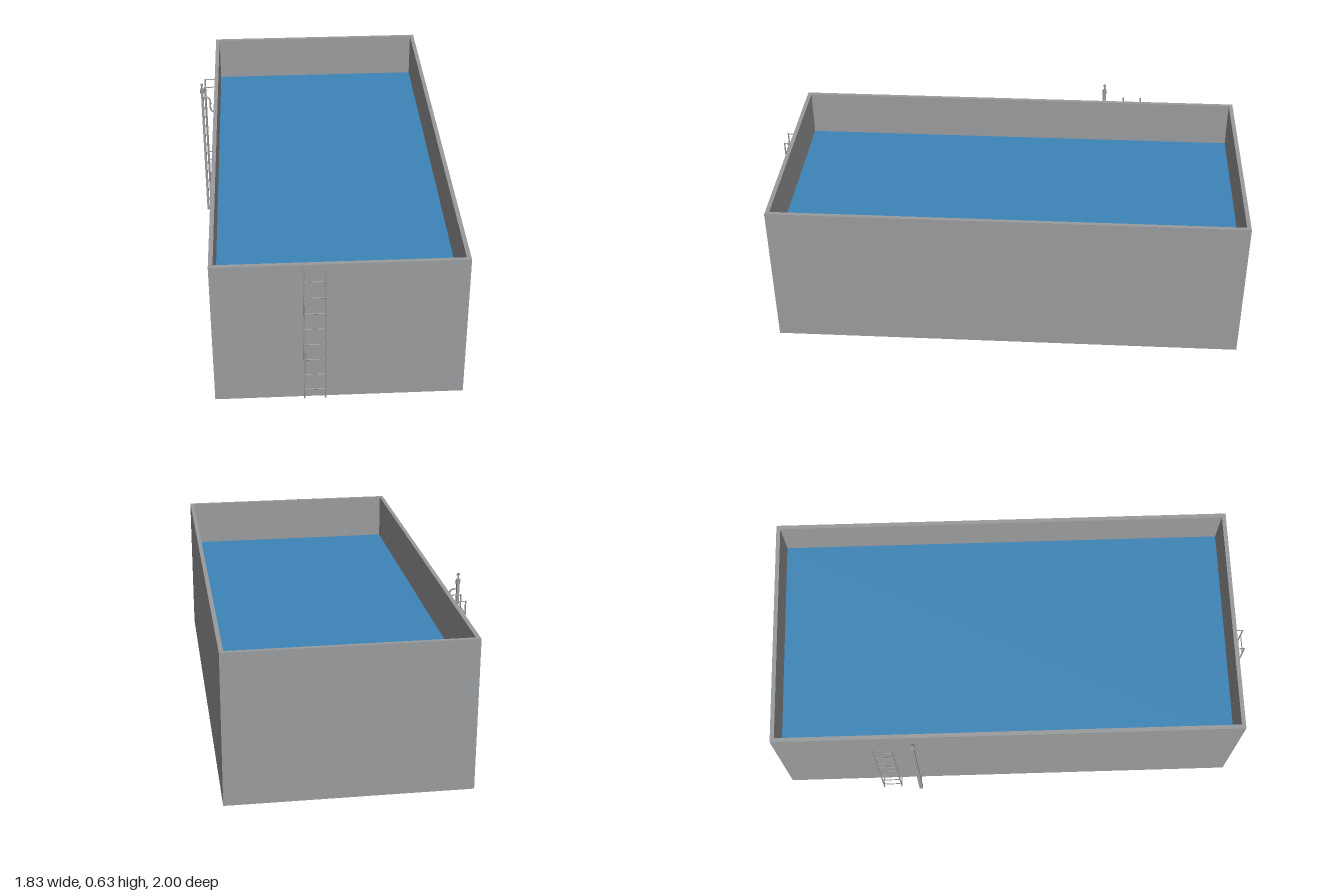
import * as THREE from 'three';

const W = 0.909, L = 1.822, H = 0.585, T = 0.016; // tank width, length, height, wall thickness
const WATER_Y = 0.4;

const steel = new THREE.MeshStandardMaterial({ color: 0x9a9b9c });
steel.name = 'steel grey';
const blue = new THREE.MeshStandardMaterial({ color: 0x3d85b8 });
blue.name = 'water blue';

function add(parent, name, geometry, material, x = 0, y = 0, z = 0) {
  const mesh = new THREE.Mesh(geometry, material);
  mesh.name = name;
  mesh.position.set(x, y, z);
  parent.add(mesh);
  return mesh;
}

// Round bar between two points
function bar(parent, name, a, b, r) {
  const p = new THREE.Vector3(...a), q = new THREE.Vector3(...b);
  const dir = q.clone().sub(p);
  const mesh = add(parent, name, new THREE.CylinderGeometry(r, r, dir.length(), 8), steel);
  mesh.position.copy(p).add(q).multiplyScalar(0.5);
  mesh.quaternion.setFromUnitVectors(new THREE.Vector3(0, 1, 0), dir.normalize());
  return mesh;
}

// Ladder against the plane z = 0, standing out towards +z
function makeLadder(name, width, standoff) {
  const g = new THREE.Group();
  g.name = name;
  for (const s of [-1, 1]) {
    const x = s * width / 2;
    bar(g, 'ladderRail', [x, 0.012, standoff], [x, 0.58, standoff], 0.0028);
    for (const y of [0.015, 0.217, 0.577])
      bar(g, 'ladderBracket', [x, y, 0], [x, y, standoff], 0.0022);
  }
  for (let i = 0; i < 8; i++) {
    const y = 0.053 + i * 0.068;
    bar(g, 'ladderRung', [-width / 2, y, standoff], [width / 2, y, standoff], 0.002);
  }
  return g;
}

// Level gauge against the plane z = 0, standing out towards +z
function makeGauge() {
  const g = new THREE.Group();
  g.name = 'levelGauge';
  const out = 0.05;
  add(g, 'gaugePost', new THREE.BoxGeometry(0.014, 0.585, 0.01), steel, 0, 0.3025, out);
  bar(g, 'gaugePin', [0, 0.59, out], [0, 0.63, out], 0.003);
  add(g, 'gaugeCap', new THREE.CylinderGeometry(0.006, 0.006, 0.008, 10), steel, 0, 0.631, out);
  add(g, 'gaugeCollar', new THREE.CylinderGeometry(0.009, 0.009, 0.018, 10), steel, 0, 0.602, out);
  // Upper elbow pipe and lower connection
  const path = new THREE.CatmullRomCurve3([
    [0, 0.572, out], [0, 0.57, 0.026], [0, 0.555, 0.018],
    [0, 0.52, 0.018], [0, 0.505, 0.012], [0, 0.502, 0],
  ].map(p => new THREE.Vector3(...p)));
  add(g, 'upperPipe', new THREE.TubeGeometry(path, 24, 0.0035, 8), steel);
  bar(g, 'lowerPipe', [0, 0.062, 0], [0, 0.062, out], 0.0035);
  for (const y of [0.062, 0.502])
    bar(g, 'pipeFlange', [0, y, 0], [0, y, 0.005], 0.008);
  bar(g, 'gaugeBracket', [0, 0.015, 0], [0, 0.015, out], 0.0025);
  return g;
}

export function createModel() {
  const model = new THREE.Group();
  model.name = 'waterTank';
  const tank = new THREE.Group();
  tank.name = 'tank';
  tank.rotation.y = 0.655;
  model.add(tank);

  // Four walls as one open frame
  const rect = (Type, w, l) => new Type([[-w, -l], [w, -l], [w, l], [-w, l]]
    .map(([x, y]) => new THREE.Vector2(x / 2, y / 2)));
  const frame = rect(THREE.Shape, W, L);
  frame.holes.push(rect(THREE.Path, W - 2 * T, L - 2 * T));
  const walls = new THREE.ExtrudeGeometry(frame, { depth: H, bevelEnabled: false });
  walls.rotateX(-Math.PI / 2);
  add(tank, 'walls', walls, steel);

  // Floor and water inside the walls
  add(tank, 'floor', new THREE.BoxGeometry(W - 2 * T, T, L - 2 * T), steel, 0, T / 2, 0);
  add(tank, 'water', new THREE.BoxGeometry(W - 2 * T, WATER_Y - T, L - 2 * T), blue, 0, (WATER_Y + T) / 2, 0);

  // Fittings on the long side
  const sideLadder = makeLadder('sideLadder', 0.073, 0.042);
  sideLadder.position.set(-W / 2, 0, -0.485);
  sideLadder.rotation.y = -Math.PI / 2;
  const gauge = makeGauge();
  gauge.position.set(-W / 2, 0, -0.367);
  gauge.rotation.y = -Math.PI / 2;

  // Ladder on the short end
  const endLadder = makeLadder('endLadder', 0.076, 0.024);
  endLadder.position.set(-0.09, 0, L / 2);

  tank.add(sideLadder, gauge, endLadder);
  return model;
}
